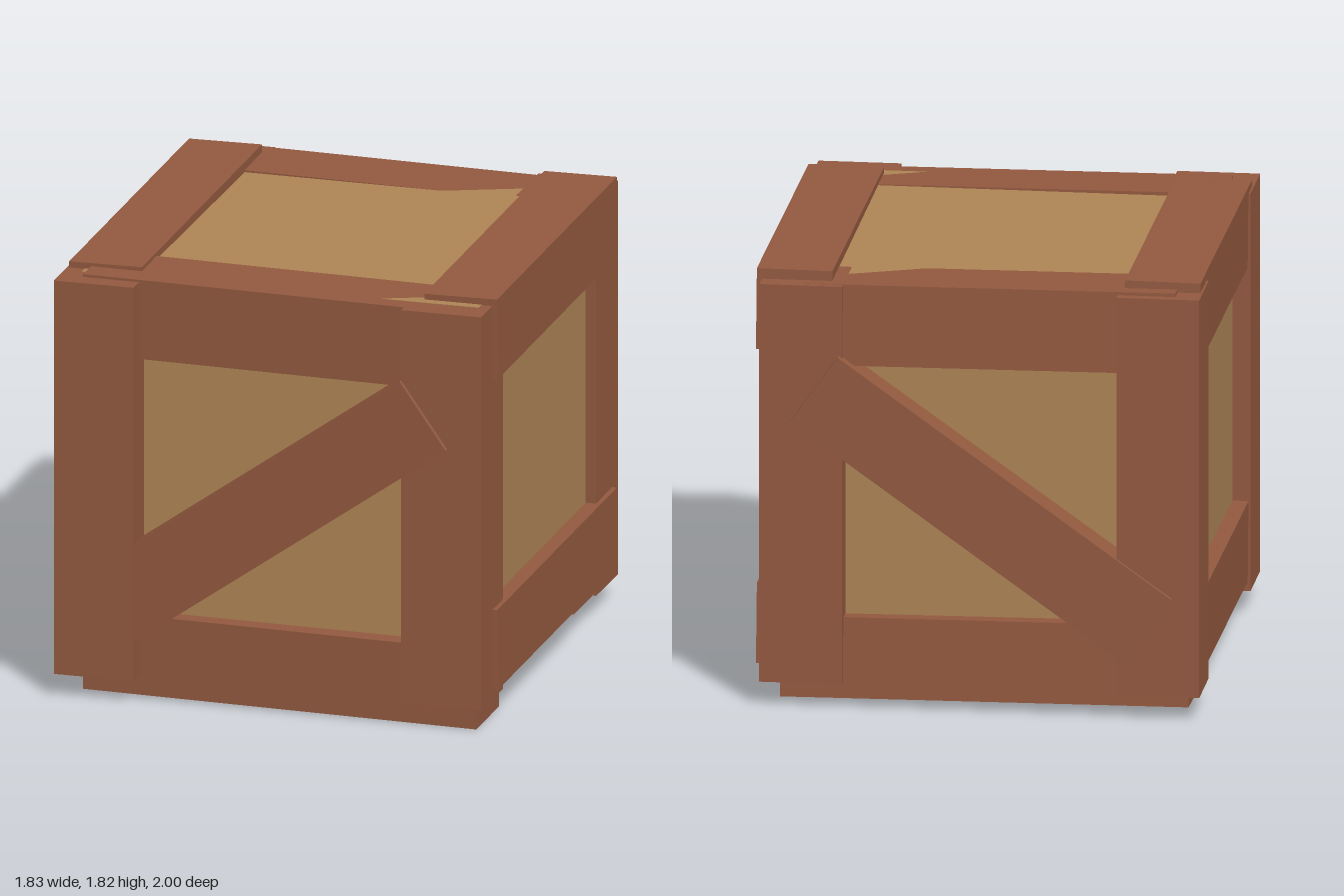
import * as THREE from 'three';

export function createModel() {
  const crate = new THREE.Group();
  crate.name = 'woodenCrate';
  const frameWood = new THREE.MeshStandardMaterial({ color: 0x945a40 });
  frameWood.name = 'reddish brown wood';
  const panelWood = new THREE.MeshStandardMaterial({ color: 0xaf8556 });
  panelWood.name = 'tan wood';

  const LENGTH = 1.68, WIDTH = 0.34, DEPTH = 0.31;

  function box(name, material, size, position, rotation = [0, 0, 0]) {
    const mesh = new THREE.Mesh(new THREE.BoxGeometry(...size), material);
    mesh.name = name;
    mesh.position.set(...position);
    mesh.rotation.set(...rotation);
    crate.add(mesh);
  }

  // Inner box whose faces show as panels between the beams
  box('innerPanels', panelWood, [1.69, LENGTH, 1.7], [0, 0.94, 0.003]);

  // Upright corner posts
  const posts = [
    ['frontLeftPost', 0.72, 0.938, 0.818],
    ['frontRightPost', -0.75, 0.938, 0.845],
    ['backLeftPost', 0.72, 0.942, -0.798],
    ['backRightPost', -0.75, 0.942, -0.825],
  ];
  for (const [name, x, y, z] of posts) box(name, frameWood, [WIDTH, LENGTH, DEPTH], [x, y, z]);

  // Front and back rails, slightly askew
  const crossRails = [
    ['frontTopRail', 0.02, 1.6155, 0.767],
    ['frontBottomRail', 0.02, 0.182, 0.767],
    ['backTopRail', 0.02, 1.6155, -0.78],
    ['backBottomRail', -0.03, 0.207, -0.765],
  ];
  for (const [name, x, y, z] of crossRails) {
    box(name, frameWood, [LENGTH, WIDTH, DEPTH], [x, y, z], [0.022, -0.01, -0.009]);
  }

  // Side rails, top and bottom
  for (const [side, x] of [['left', 0.757], ['right', -0.755]]) {
    for (const [level, y] of [['Top', 1.645], ['Bottom', 0.318]]) {
      box(side + level + 'Rail', frameWood, [DEPTH, WIDTH, LENGTH], [x, y, -0.03], [0.011, 0, 0.01]);
    }
  }

  // Diagonal braces on front and back
  const slope = 0.616;
  box('frontBrace', frameWood, [LENGTH, WIDTH, DEPTH], [-0.035, 0.855, 0.835], [0, -0.01, slope]);
  box('backBrace', frameWood, [LENGTH, WIDTH, DEPTH], [-0.025, 0.865, -0.834], [0, -0.013, slope]);

  return crate;
}
